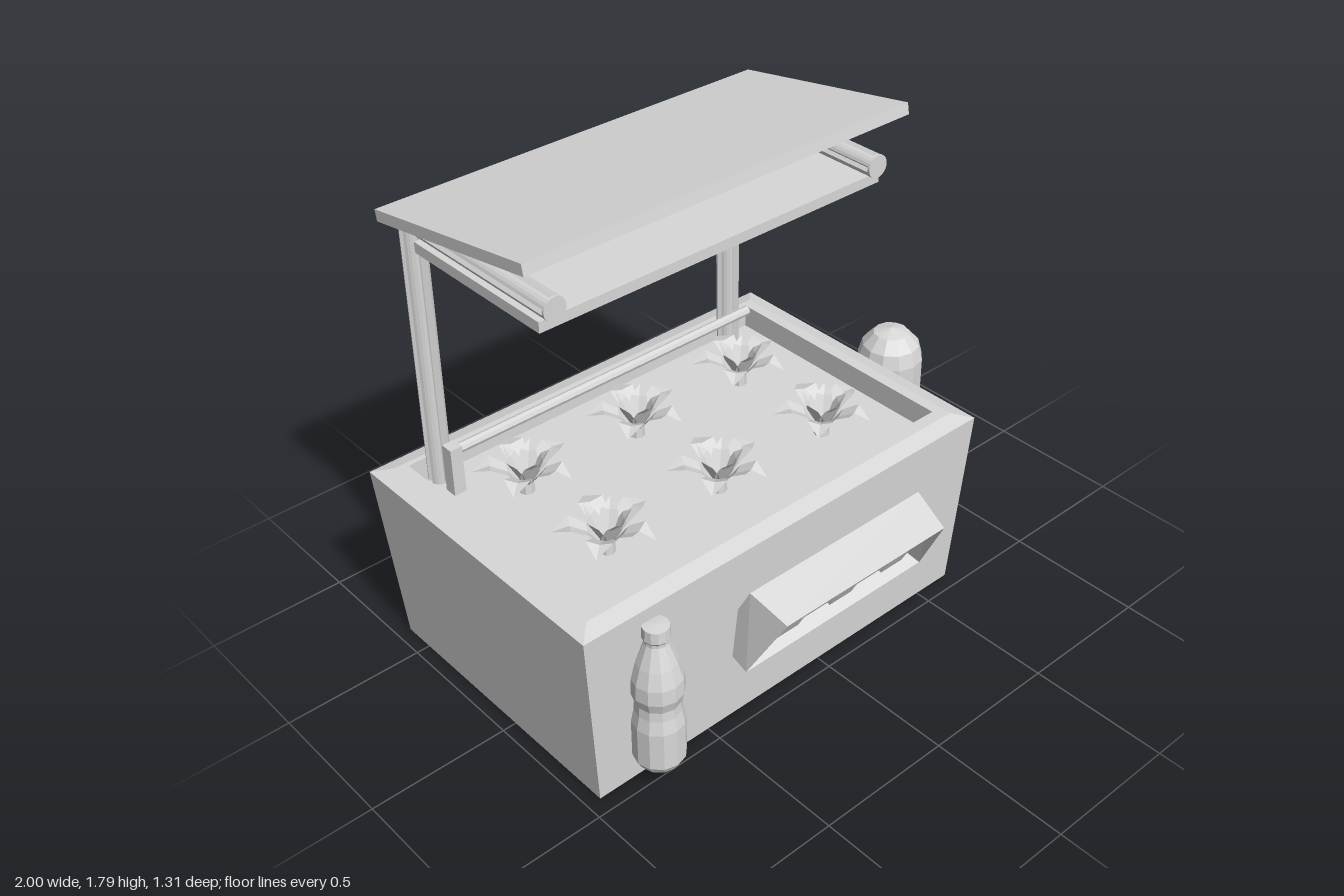
import * as THREE from 'three';

const grey = new THREE.MeshStandardMaterial({ color: 0xd8d8d8, flatShading: true, side: THREE.DoubleSide });
grey.name = 'plain grey';

// Skin a list of cross-sections; closed sections are four-cornered and capped
function loft(rings, closed = true) {
  const n = rings[0].length, pos = [], idx = [];
  rings.forEach(r => r.forEach(p => pos.push(...p)));
  for (let i = 0; i < rings.length - 1; i++) {
    for (let j = 0; j < (closed ? n : n - 1); j++) {
      const k = (j + 1) % n, a = i * n + j, b = i * n + k, c = b + n, d = a + n;
      idx.push(a, b, c, a, c, d);
    }
  }
  if (closed) {
    const e = (rings.length - 1) * n;
    idx.push(0, 2, 1, 0, 3, 2, e, e + 1, e + 2, e, e + 2, e + 3);
  }
  const g = new THREE.BufferGeometry();
  g.setAttribute('position', new THREE.Float32BufferAttribute(pos, 3));
  g.setIndex(idx);
  const flat = g.toNonIndexed();
  flat.computeVertexNormals();
  return flat;
}

function add(parent, name, geometry, x = 0, y = 0, z = 0) {
  const m = new THREE.Mesh(geometry, grey);
  m.name = name;
  m.position.set(x, y, z);
  parent.add(m);
  return m;
}

const lathe = (pts, sides) => new THREE.LatheGeometry(pts.map(p => new THREE.Vector2(...p)), sides);
const box = (w, h, d) => new THREE.BoxGeometry(w, h, d);
const rod = (r, len, sides = 12) => new THREE.CylinderGeometry(r, r, len, sides);

// Round bar along z with a narrow groove down each of its four sides
function groovedBar(r, len) {
  const pts = [];
  for (let i = 0; i < 24; i++) {
    const a = (i / 24) * Math.PI * 2, d = i % 6 === 0 ? r * 0.72 : r;
    pts.push(new THREE.Vector2(Math.cos(a) * d, Math.sin(a) * d));
  }
  return new THREE.ExtrudeGeometry(new THREE.Shape(pts), { depth: len, bevelEnabled: false });
}

// Curved, lightly folded leaf from [distance out, height, half width] stations
const leaf = stations => loft(stations.map(([r, y, w]) => [[r, y + w * 0.25, -w], [r, y, 0], [r, y + w * 0.25, w]]), false);
const outerLeaf = leaf([[0.015, 0.03, 0.012], [0.06, 0.085, 0.034], [0.115, 0.115, 0.043], [0.172, 0.1, 0.001]]);
const innerLeaf = leaf([[0.01, 0.03, 0.014], [0.035, 0.08, 0.034], [0.055, 0.12, 0.026], [0.08, 0.153, 0.001]]);

function makePlant() {
  const plant = new THREE.Group();
  plant.name = 'plant';
  add(plant, 'stem', new THREE.CylinderGeometry(0.024, 0.028, 0.07, 8), 0, 0.025, 0);
  for (let i = 0; i < 5; i++) {
    const a = i * Math.PI * 0.4;
    add(plant, 'outerLeaf', outerLeaf).rotation.y = -a - 1.17;
    add(plant, 'innerLeaf', innerLeaf).rotation.y = -a - 0.55;
  }
  return plant;
}

export function createModel() {
  const model = new THREE.Group();
  model.name = 'planterStation';

  // Tapered planter with bevelled outer rim, flat lip, upright inner walls and soil
  const level = (y, x0, x1, z0, z1) => [[x0, y, z1], [x1, y, z1], [x1, y, z0], [x0, y, z0]];
  add(model, 'planterBox', loft([
    level(0, -0.95, 0.65, -0.615, 0.442),
    level(0.69, -1, 0.697, -0.653, 0.472),
    level(0.707, -0.94, 0.638, -0.595, 0.413),
    level(0.707, -0.898, 0.598, -0.575, 0.367),
    level(0.62, -0.898, 0.598, -0.575, 0.367),
  ]));

  // Two rows of plants
  for (const z of [0.115, -0.305]) {
    for (const x of [-0.625, -0.155, 0.32]) {
      const p = makePlant();
      p.position.set(x, 0.62, z);
      model.add(p);
    }
  }

  // Grooved posts and capped overhead arms
  for (const x of [-0.795, 0.49]) {
    add(model, 'post', groovedBar(0.041, 1.01), x, 0.61, -0.555).rotation.x = -Math.PI / 2;
    add(model, 'arm', groovedBar(0.039, 0.745), x, 1.595, -0.595);
    for (const z of [-0.597, 0.152]) {
      add(model, 'armCap', rod(0.04, 0.008, 24), x, 1.595, z).rotation.x = Math.PI / 2;
    }
  }

  // Watering rail carried by one upright
  add(model, 'railUpright', box(0.045, 0.185, 0.048), -0.797, 0.7075, -0.461);
  add(model, 'rail', rod(0.018, 1.28, 8), -0.14, 0.778, -0.461).rotation.z = Math.PI / 2;

  // Lamp panel and tilted roof
  add(model, 'lampPanel', box(1.36, 0.037, 0.615), -0.155, 1.538, -0.178);
  add(model, 'roof', box(1.505, 0.039, 0.75), -0.152, 1.703, -0.198).rotation.x = -0.173;

  // Tank with domed top, bracketed to the side
  add(model, 'tank', lathe([[0, 0.2], [0.121, 0.2], [0.121, 0.6], [0.106, 0.655], [0.065, 0.7], [0, 0.717]], 12), 0.879, 0, -0.09);
  for (const y of [0.512, 0.282]) {
    add(model, 'bracketRod', rod(0.022, 0.14, 8), 0.71, y, -0.09).rotation.z = Math.PI / 2;
    add(model, 'bracketNut', rod(0.035, 0.024, 8), 0.703, y, -0.09).rotation.z = Math.PI / 2;
  }

  // Bottle with waist and cap
  add(model, 'bottle', lathe([[0, 0.09], [0.072, 0.09], [0.087, 0.117], [0.087, 0.26], [0.077, 0.31], [0.075, 0.345],
    [0.087, 0.385], [0.085, 0.44], [0.068, 0.5], [0.039, 0.575], [0.039, 0.59]], 12), -0.75, 0, 0.497);
  add(model, 'bottleCap', lathe([[0, 0.585], [0.038, 0.585], [0.046, 0.597], [0.044, 0.638], [0, 0.642]], 12), -0.75, 0, 0.497);

  // Control panel housing with a recessed face tilted downward
  const section = (bx0, bx1, by, bz, tx0, tx1, ty, tz) => [[bx0, by, bz], [bx1, by, bz], [tx1, ty, tz], [tx0, ty, tz]];
  add(model, 'controlHousing', loft([
    section(-0.405, 0.412, 0.295, 0.38, -0.378, 0.39, 0.55, 0.507),
    section(-0.402, 0.41, 0.24, 0.517, -0.355, 0.363, 0.495, 0.652),
    section(-0.385, 0.393, 0.266, 0.475, -0.342, 0.35, 0.511, 0.602),
  ]));
  for (const x of [-0.24, 0.003, 0.246]) {
    add(model, 'controlButton', box(0.1, 0.13, 0.03), x, 0.389, 0.551).rotation.x = 0.487;
  }

  return model;
}
